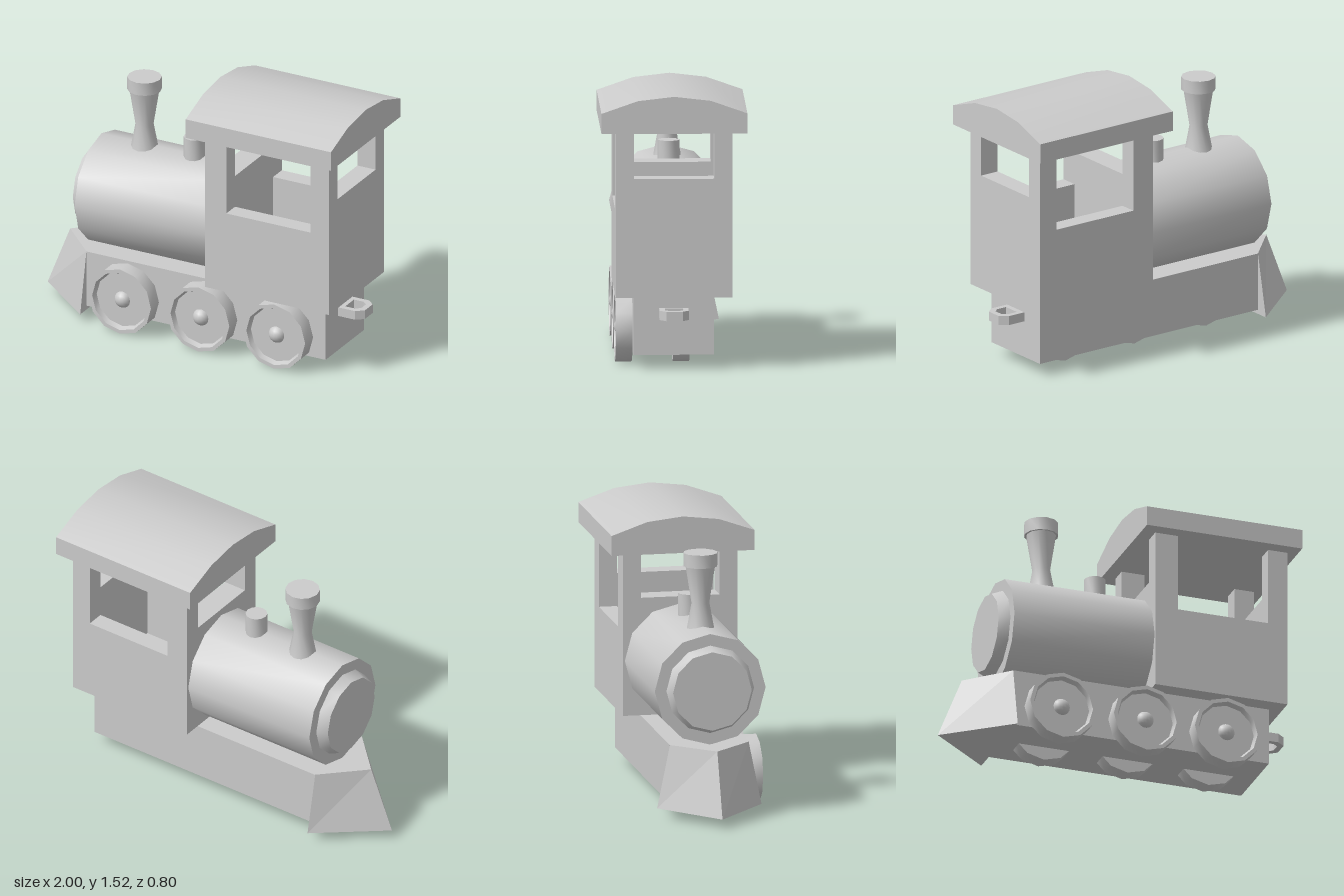
import * as THREE from 'three';
import { toCreasedNormals } from 'three/addons/utils/BufferGeometryUtils.js';

export function createModel() {
  const model = new THREE.Group();
  model.name = 'toySteamTrain';
  const material = new THREE.MeshStandardMaterial({ color: 0xcccccc });
  const SIDES = 12;

  const add = (name, geometry, parent = model) => {
    const mesh = new THREE.Mesh(geometry, material);
    mesh.name = name;
    parent.add(mesh);
    return mesh;
  };
  // Box given by its lower and upper limits
  const box = (name, x0, x1, y0, y1, z0, z1, parent) =>
    add(name, new THREE.BoxGeometry(x1 - x0, y1 - y0, z1 - z0), parent)
      .position.set((x0 + x1) / 2, (y0 + y1) / 2, (z0 + z1) / 2);
  // Turned part around y, profile of [radius, height] from bottom to top
  const turned = (profile) => toCreasedNormals(
    new THREE.LatheGeometry(profile.map(([r, h]) => new THREE.Vector2(r, h)), SIDES), 0.65);

  // Chassis
  box('chassis', -0.64, 0.85, 0.075, 0.402, -0.222, 0.222);

  // Boiler with a tapered front door, turned along -x
  const boiler = turned([[0, -0.152], [0.31, -0.152], [0.31, 0.665], [0.245, 0.665], [0.22, 0.725], [0, 0.725]]);
  boiler.rotateZ(Math.PI / 2);
  add('boiler', boiler).position.y = 0.71;

  // Chimney and steam dome
  add('chimney', turned([[0, 1.0], [0.076, 1.0], [0.05, 1.14], [0.083, 1.348], [0.095, 1.348],
    [0.095, 1.422], [0, 1.422]])).position.x = -0.397;
  add('steamDome', turned([[0, 1.0], [0.06, 1.0], [0.06, 1.13], [0, 1.13]])).position.x = -0.085;

  // Cab: floor, low walls and corner posts around open windows
  const cab = new THREE.Group();
  cab.name = 'cab';
  model.add(cab);
  box('cabFloor', 0.285, 0.81, 0.402, 0.5, -0.22, 0.22, cab);
  for (const [x0, x1] of [[0.152, 0.285], [0.81, 0.923]]) {
    box('cabEndWall', x0, x1, 0.402, 1.06, -0.22, 0.22, cab);
    for (const z of [-0.32, 0.22]) box('cabPost', x0, x1, 0.402, 1.318, z, z + 0.1, cab);
  }
  for (const z of [-0.32, 0.22]) box('cabSideWall', 0.285, 0.81, 0.402, 0.875, z, z + 0.1, cab);

  // Arched roof
  const arch = new THREE.Shape([[-0.4, 1.318], [0.4, 1.318], [0.4, 1.43], [0.2, 1.5], [0, 1.523],
    [-0.2, 1.5], [-0.4, 1.43]].map(([x, y]) => new THREE.Vector2(x, y)));
  const roof = new THREE.ExtrudeGeometry(arch, { depth: 0.905, bevelEnabled: false });
  roof.rotateY(Math.PI / 2);
  add('roof', toCreasedNormals(roof, 0.5)).position.x = 0.075;

  // Wedge-shaped track clearer, lofted between two triangles
  const triangle = (tip, half, y) => [[tip, y, 0], [-0.64, y, half], [-0.64, y, -half]];
  const low = triangle(-1, 0.292, 0.05), high = triangle(-0.86, 0.22, 0.402);
  const corners = [high[0], high[1], high[2], low[0], low[2], low[1]];
  for (let i = 0; i < 3; i++) {
    const j = (i + 1) % 3;
    corners.push(low[i], low[j], high[j], low[i], high[j], high[i]);
  }
  const wedge = new THREE.BufferGeometry();
  wedge.setAttribute('position', new THREE.Float32BufferAttribute(corners.flat(), 3));
  wedge.computeVertexNormals();
  add('trackClearer', wedge);

  // Rear coupling ring
  const dShape = (path, x0, x1, x2, half, tip) => {
    path.moveTo(x0, -half);
    path.lineTo(x1, -half);
    path.lineTo(x2, -tip);
    path.lineTo(x2, tip);
    path.lineTo(x1, half);
    path.lineTo(x0, half);
    path.closePath();
    return path;
  };
  const ring = dShape(new THREE.Shape(), 0.845, 0.957, 1.0, 0.08, 0.045);
  ring.holes.push(dShape(new THREE.Path(), 0.88, 0.94, 0.968, 0.05, 0.028));
  const coupling = new THREE.ExtrudeGeometry(ring, { depth: 0.052, bevelEnabled: false });
  coupling.rotateX(Math.PI / 2);
  add('coupling', coupling).position.y = 0.335;

  // Dished wheels with round hubs: an outer row and a row under the chassis
  const rim = turned([[0, 0], [0.194, 0], [0.194, 0.092], [0.172, 0.092], [0.16, 0.062], [0, 0.062]]);
  rim.rotateX(Math.PI / 2);
  const hub = new THREE.SphereGeometry(0.05, 16, 10);
  for (const x of [-0.381, 0.107, 0.579]) {
    for (const [z, turn] of [[0.223, 0], [0, Math.PI]]) {
      const wheel = new THREE.Group();
      wheel.name = 'wheel';
      wheel.position.set(x, 0.194, z);
      wheel.rotation.y = turn;
      add('wheelRim', rim, wheel);
      add('wheelHub', hub, wheel).position.z = 0.048;
      model.add(wheel);
    }
  }
  return model;
}
